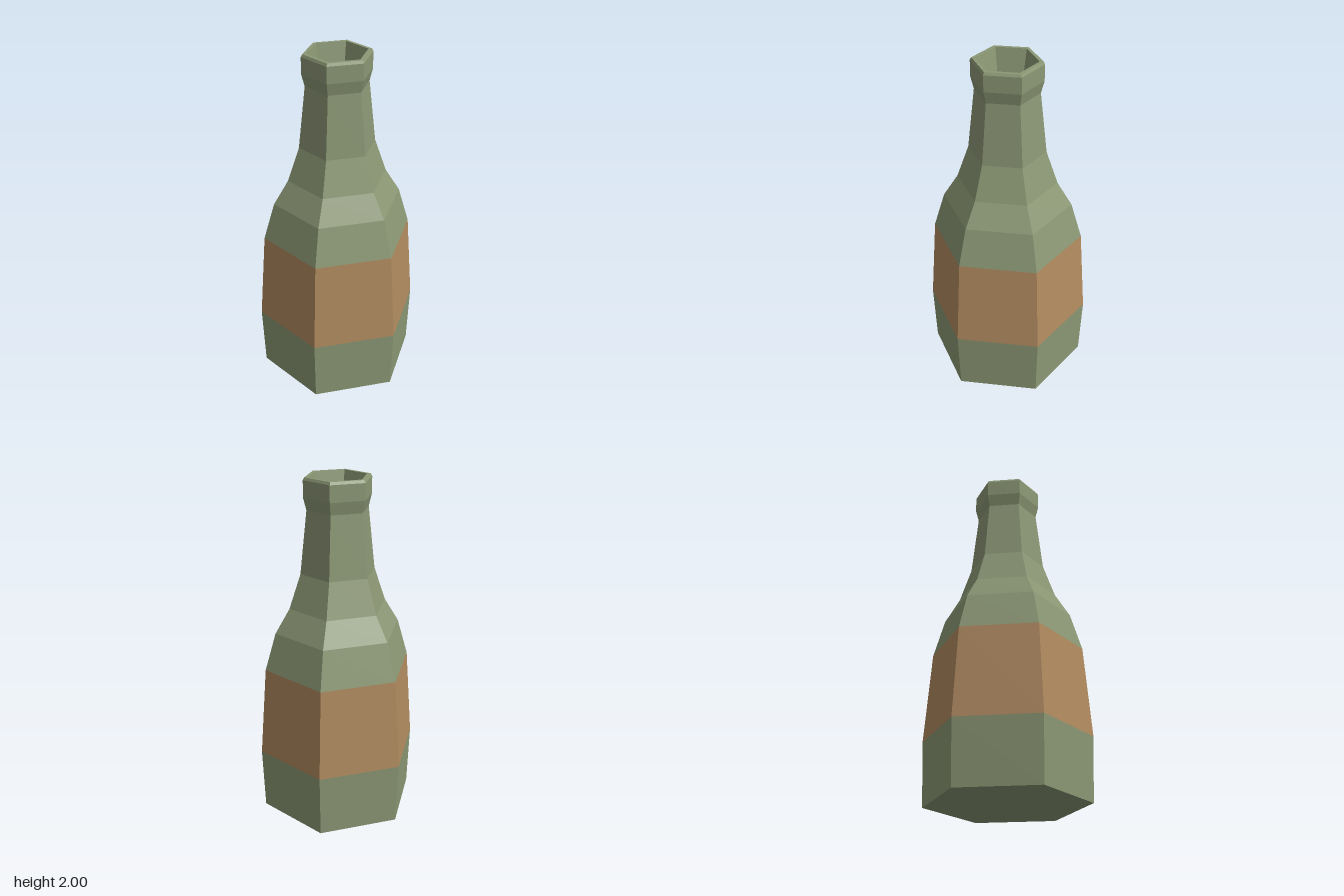
import * as THREE from 'three';

const mat = (color, side = THREE.FrontSide) =>
  new THREE.MeshStandardMaterial({ color, side, flatShading: true });

// Six-sided turned part; a profile that rises faces outwards, one that falls faces inwards
function turned(name, profile, material) {
  const points = profile.map(([r, y]) => new THREE.Vector2(r, y));
  const mesh = new THREE.Mesh(new THREE.LatheGeometry(points, 6), material);
  mesh.name = name;
  return mesh;
}

// Strip of paper folded along a path of [x, z] points, leaning slightly so its upper edge is tighter
function foldedStrip(path, y0, y1, topScale) {
  const shape = new THREE.PlaneGeometry(1, 1, path.length - 1, 1);
  const pos = shape.attributes.position;
  for (let i = 0; i < pos.count; i++) {
    const [x, z] = path[i % path.length];
    const top = i < path.length;
    const s = top ? topScale : 1;
    pos.setXYZ(i, x * s, top ? y1 : y0, z * s);
  }
  shape.computeVertexNormals();
  return shape;
}

export function createModel() {
  const bottle = new THREE.Group();
  bottle.name = 'bottle';
  const glass = mat(0x8c9875);
  const labelMat = mat(0xb28c60);
  const paper = mat(0x9a8264, THREE.DoubleSide);

  // Underside and lower body
  bottle.add(turned('lowerBody', [[0, 0], [0.465, 0], [0.479, 0.37]], glass));

  // Wrap-around label
  bottle.add(turned('label', [[0.479, 0.37], [0.438, 0.9]], labelMat));

  // Shoulder, neck and lip
  bottle.add(turned('shoulderAndNeck', [
    [0.438, 0.9], [0.373, 1.12], [0.288, 1.26], [0.22, 1.46], [0.18, 1.82],
    [0.198, 1.89], [0.198, 1.985], [0.19, 2], [0.17, 2],
  ], glass));

  // Hollow inside, from the mouth down to the floor
  bottle.add(turned('inside', [
    [0.17, 2], [0.135, 1.82], [0.175, 1.46], [0.245, 1.26], [0.33, 1.12],
    [0.395, 0.9], [0.435, 0.37], [0.42, 0.05], [0, 0.05],
  ], glass));

  // Loosely rolled note standing inside
  const note = new THREE.Mesh(
    foldedStrip([[0.1, -0.03], [0.05, -0.12], [-0.14, -0.08], [0.06, 0.12]], 0.06, 0.85, 0.78), paper);
  note.name = 'rolledNote';
  bottle.add(note);

  return bottle;
}
